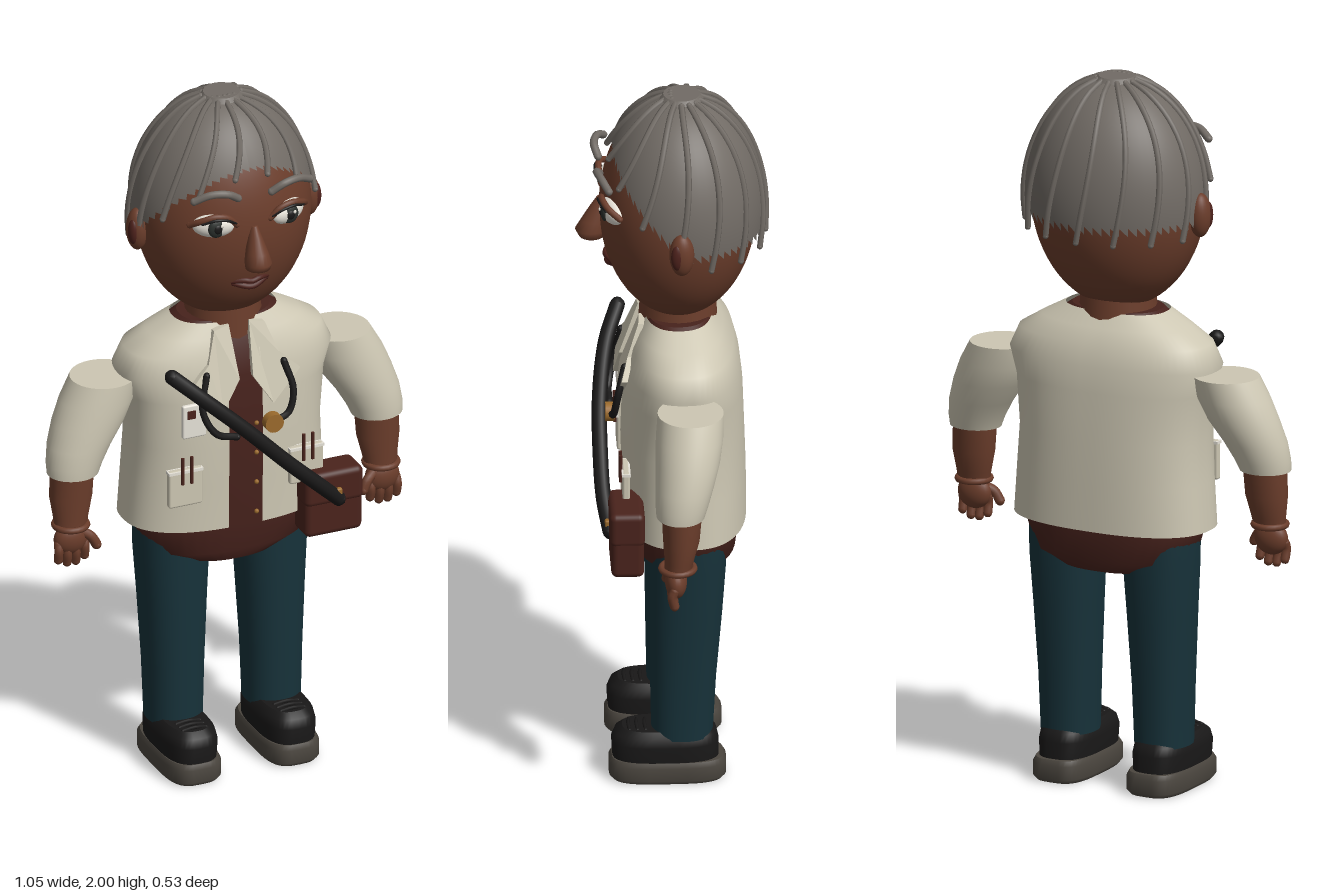
import * as THREE from 'three';
import { RoundedBoxGeometry } from 'three/addons/geometries/RoundedBoxGeometry.js';

const mat = (color) => new THREE.MeshStandardMaterial({ color, side: THREE.DoubleSide });
const M = {
  skin: mat(0x6b3d2b), lip: mat(0x4e221c), hair: mat(0x716b65), jacket: mat(0xcdc7b3),
  shirt: mat(0x47221c), trousers: mat(0x17323a), black: mat(0x191818), sole: mat(0x4b463f),
  white: mat(0xe6e2d8), iris: mat(0x2a2f2c), gold: mat(0x9a6a2c), leather: mat(0x4a231c),
};
const V = (x, y, z) => new THREE.Vector3(x, y, z);

function add(parent, name, geometry, material, x = 0, y = 0, z = 0) {
  const mesh = new THREE.Mesh(geometry, material);
  mesh.name = name;
  mesh.position.set(x, y, z);
  parent.add(mesh);
  return mesh;
}

function blob(parent, name, material, x, y, z, rx, ry, rz, seg = 24) {
  const mesh = add(parent, name, new THREE.SphereGeometry(1, seg, seg * 0.75), material, x, y, z);
  mesh.scale.set(rx, ry, rz);
  return mesh;
}

function tube(parent, name, material, points, r, seg = 16, sides = 8) {
  const curve = new THREE.CatmullRomCurve3(points);
  const mesh = add(parent, name, new THREE.TubeGeometry(curve, seg, r, sides), material);
  for (const p of [points[0], points[points.length - 1]]) blob(parent, name + 'End', material, p.x, p.y, p.z, r, r, r, 8);
  return mesh;
}

// Skin over horizontal rings [y, cx, cz, rx, rz], bottom to top; gap opens the front
function loft(rings, { power = 1, gap = 0, n = 40, caps = true } = {}) {
  const pos = [], idx = [], pw = (v) => Math.sign(v) * Math.abs(v) ** power;
  const ringPoints = ([y, cx, cz, rx, rz]) => {
    const a0 = gap ? Math.asin((gap / rx) ** (1 / power)) : 0;
    for (let j = 0; j < n; j++) {
      const a = gap ? a0 + (2 * Math.PI - 2 * a0) * j / (n - 1) : 2 * Math.PI * j / n;
      pos.push(cx + rx * pw(Math.sin(a)), y, cz + rz * pw(Math.cos(a)));
    }
  };
  rings.forEach(ringPoints);
  const cols = gap ? n - 1 : n;
  for (let i = 0; i < rings.length - 1; i++) for (let j = 0; j < cols; j++) {
    const k = (j + 1) % n, a = i * n + j, b = i * n + k;
    idx.push(a, b, b + n, a, b + n, a + n);
  }
  if (caps && !gap) for (const [ring, top] of [[rings[0], false], [rings[rings.length - 1], true]]) {
    const base = pos.length / 3;
    ringPoints(ring);
    pos.push(ring[1], ring[0], ring[2]);
    for (let j = 0; j < n; j++) {
      const k = (j + 1) % n;
      top ? idx.push(base + n, base + j, base + k) : idx.push(base + n, base + k, base + j);
    }
  }
  const g = new THREE.BufferGeometry();
  g.setAttribute('position', new THREE.Float32BufferAttribute(pos, 3));
  g.setIndex(idx);
  g.computeVertexNormals();
  return g;
}

// Point on the hair shell: angle a from the front, t from crown (0) to hairline (1)
function hairPoint(a, t, s = 1) {
  const edge = 1.605 + 0.235 * Math.max(0, Math.cos(a));
  const polar = t * Math.acos((edge - 1.66) / 0.335), r = Math.sin(polar) * s;
  return V(0.257 * r * Math.sin(a), 1.66 + 0.335 * Math.cos(polar) * s, -0.03 + 0.228 * r * Math.cos(a));
}

function buildHead() {
  const head = new THREE.Group();
  head.name = 'head';
  blob(head, 'skull', M.skin, 0, 1.66, -0.02, 0.246, 0.315, 0.215, 48);
  add(head, 'neck', new THREE.CylinderGeometry(0.1, 0.11, 0.14, 24), M.skin, 0, 1.36, -0.02);

  // Hair cap cut along the hairline, with raised strands
  const cap = new THREE.SphereGeometry(1, 64, 24), uv = cap.attributes.uv, pos = cap.attributes.position;
  for (let i = 0; i < pos.count; i++) {
    const p = hairPoint((i % 65) / 64 * Math.PI * 2, Math.floor(i / 65) / 24);
    pos.setXYZ(i, p.x, p.y, p.z);
  }
  cap.computeVertexNormals();
  add(head, 'hairCap', cap, M.hair);
  add(head, 'crown', new THREE.CylinderGeometry(0.05, 0.06, 0.012, 24), M.hair, 0, 1.993, -0.03);
  for (let k = 0; k < 15; k++) {
    const pts = [];
    for (let i = 0; i <= 8; i++) {
      const t = 0.13 + 0.91 * i / 8;
      pts.push(hairPoint((k + 0.5) / 15 * Math.PI * 2 + 0.16 * Math.sin(t * 3), t, 1.005 + 0.02 * t ** 6));
    }
    tube(head, 'hairStrand', M.hair, pts, 0.0085, 20, 6);
  }

  // Eyes, brows and ears
  for (const s of [-1, 1]) {
    blob(head, 'eyeWhite', M.white, s * 0.11, 1.7, 0.163, 0.058, 0.034, 0.028).rotation.y = s * 0.4;
    blob(head, 'iris', M.iris, s * 0.108, 1.7, 0.184, 0.026, 0.028, 0.012);
    blob(head, 'pupil', M.black, s * 0.108, 1.7, 0.192, 0.013, 0.014, 0.007);
    blob(head, 'eyeGlint', M.white, s * 0.108 + 0.01, 1.71, 0.198, 0.005, 0.005, 0.003, 8);
    tube(head, 'upperLid', M.skin, [V(s * 0.05, 1.7, 0.185), V(s * 0.08, 1.729, 0.192), V(s * 0.115, 1.737, 0.19), V(s * 0.15, 1.725, 0.175), V(s * 0.172, 1.705, 0.145)], 0.009);
    tube(head, 'lashes', M.black, [V(s * 0.055, 1.708, 0.192), V(s * 0.08, 1.724, 0.2), V(s * 0.115, 1.731, 0.199), V(s * 0.15, 1.719, 0.182)], 0.004);
    tube(head, 'eyebrow', M.hair, [V(s * 0.05, 1.785, 0.195), V(s * 0.085, 1.808, 0.205), V(s * 0.13, 1.81, 0.195), V(s * 0.172, 1.79, 0.175)], 0.011);
    blob(head, 'ear', M.skin, s * 0.255, 1.635, -0.02, 0.03, 0.062, 0.034);
    blob(head, 'innerEar', M.lip, s * 0.272, 1.635, -0.008, 0.014, 0.038, 0.018);
  }

  // Nose widens towards its tip
  add(head, 'nose', loft([[1.562, 0, 0.215, 0.012, 0.015], [1.572, 0, 0.215, 0.034, 0.034], [1.592, 0, 0.218, 0.037, 0.042],
    [1.62, 0, 0.208, 0.03, 0.036], [1.66, 0, 0.194, 0.019, 0.026], [1.69, 0, 0.185, 0.01, 0.015]], { n: 20 }), M.skin);
  tube(head, 'upperLip', M.lip, [V(-0.06, 1.513, 0.153), V(-0.02, 1.518, 0.174), V(0, 1.514, 0.177), V(0.02, 1.518, 0.174), V(0.06, 1.513, 0.153)], 0.008);
  tube(head, 'lowerLip', M.lip, [V(-0.055, 1.51, 0.153), V(0, 1.496, 0.172), V(0.055, 1.51, 0.153)], 0.009);
  return head;
}

function buildTorso() {
  const torso = new THREE.Group();
  torso.name = 'torso';
  add(torso, 'shirt', loft([[0.625, 0, -0.035, 0.15, 0.12], [0.66, 0, -0.037, 0.235, 0.14], [0.75, 0, -0.036, 0.262, 0.15],
    [1.0, 0, -0.03, 0.258, 0.158], [1.2, 0, -0.03, 0.27, 0.15], [1.27, 0, -0.03, 0.25, 0.132], [1.31, 0, -0.025, 0.19, 0.108],
    [1.35, 0, -0.02, 0.13, 0.088]], { power: 0.85 }), M.shirt);
  add(torso, 'jacket', loft([[0.75, 0, -0.035, 0.292, 0.17], [0.88, 0, -0.034, 0.283, 0.17], [1.0, 0, -0.03, 0.276, 0.17],
    [1.14, 0, -0.03, 0.288, 0.165], [1.21, 0, -0.03, 0.312, 0.157], [1.27, 0, -0.03, 0.285, 0.141], [1.31, 0, -0.025, 0.22, 0.117],
    [1.348, 0, -0.02, 0.15, 0.092]], { power: 0.82, gap: 0.05, n: 60 }), M.jacket);
  for (let i = 0; i < 4; i++) blob(torso, 'shirtButton', M.gold, 0.035, 0.78 + i * 0.09, 0.128, 0.007, 0.007, 0.006, 8);

  for (const s of [-1, 1]) {
    // Lapel follows the slope of the chest
    const shape = new THREE.Shape([[0.03, 1.345], [0.02, 1.2], [0.075, 1.115], [0.16, 1.2], [0.105, 1.25], [0.075, 1.335]].map(([x, y]) => new THREE.Vector2(s * x, y)));
    const lapel = new THREE.ExtrudeGeometry(shape, { depth: 0.016, bevelEnabled: false }), p = lapel.attributes.position;
    for (let i = 0; i < p.count; i++) p.setZ(i, p.getZ(i) + 0.138 - Math.max(0, p.getY(i) - 1.16) * 0.36);
    lapel.computeVertexNormals();
    add(torso, 'lapel', lapel, M.jacket);
    // Hip pocket with two pens
    add(torso, 'pocket', new RoundedBoxGeometry(0.1, 0.11, 0.02, 2, 0.006), M.jacket, s * 0.18, 0.9, 0.13);
    add(torso, 'pocketHem', new THREE.BoxGeometry(0.102, 0.008, 0.024), M.white, s * 0.18, 0.95, 0.13);
    for (const dx of [-0.012, 0.015]) add(torso, 'pen', new THREE.CylinderGeometry(0.005, 0.005, 0.08, 8), M.leather, s * 0.18 + dx, 0.955, 0.144);
  }
  // Name badge
  add(torso, 'badge', new RoundedBoxGeometry(0.07, 0.1, 0.014, 2, 0.005), M.white, -0.155, 1.1, 0.135);
  add(torso, 'badgePatch', new THREE.BoxGeometry(0.024, 0.024, 0.004), M.leather, -0.165, 1.122, 0.143);

  // Listening tube round the neck, with its chest piece
  tube(torso, 'neckTube', M.black, [V(-0.115, 1.225, 0.13), V(-0.135, 1.13, 0.15), V(-0.1, 1.06, 0.165), V(-0.04, 1.04, 0.165)], 0.01);
  tube(torso, 'neckTube', M.black, [V(0.115, 1.225, 0.13), V(0.135, 1.14, 0.15), V(0.115, 1.08, 0.16), V(0.07, 1.065, 0.165)], 0.01);
  add(torso, 'chestPiece', new THREE.CylinderGeometry(0.027, 0.027, 0.025, 24), M.gold, 0.066, 1.065, 0.168).rotation.x = Math.PI / 2;
  return torso;
}

function buildSatchel() {
  const bag = new THREE.Group();
  bag.name = 'satchel';
  add(bag, 'bagBody', new RoundedBoxGeometry(0.17, 0.19, 0.09, 4, 0.018), M.leather, 0.247, 0.782, 0.13);
  add(bag, 'bagFlap', new RoundedBoxGeometry(0.174, 0.1, 0.096, 4, 0.018), M.leather, 0.247, 0.83, 0.131);
  add(bag, 'clasp', new RoundedBoxGeometry(0.035, 0.022, 0.016, 2, 0.005), M.gold, 0.247, 0.82, 0.182);
  tube(bag, 'strap', M.black, [V(-0.22, 1.245, 0.135), V(-0.14, 1.175, 0.17), V(-0.02, 1.065, 0.192), V(0.1, 0.945, 0.195), V(0.19, 0.86, 0.19), V(0.258, 0.795, 0.175)], 0.021, 32, 10);
  return bag;
}

function buildArm(s) {
  const arm = new THREE.Group();
  arm.name = s > 0 ? 'leftArm' : 'rightArm';
  add(arm, 'sleeve', loft([[0.94, s * 0.452, -0.008, 0.072, 0.066], [0.97, s * 0.446, -0.012, 0.079, 0.072], [1.02, s * 0.428, -0.02, 0.09, 0.08],
    [1.08, s * 0.397, -0.03, 0.102, 0.088], [1.14, s * 0.37, -0.036, 0.104, 0.092], [1.2, s * 0.348, -0.04, 0.092, 0.09]]), M.jacket);
  add(arm, 'forearm', loft([[0.775, s * 0.462, 0.0, 0.046, 0.036], [0.81, s * 0.46, -0.004, 0.05, 0.04], [0.87, s * 0.457, -0.01, 0.061, 0.05], [0.96, s * 0.452, -0.012, 0.062, 0.056]], { n: 24 }), M.skin);
  add(arm, 'cuff', new THREE.TorusGeometry(0.045, 0.009, 8, 24), M.skin, s * 0.462, 0.785, 0).rotation.x = Math.PI / 2;
  blob(arm, 'palm', M.skin, s * 0.463, 0.745, 0.005, 0.05, 0.047, 0.03);
  for (let i = 0; i < 4; i++) {
    const x = 0.425 + i * 0.026, drop = i === 0 || i === 3 ? 0.012 : 0;
    tube(arm, 'finger', M.skin, [V(s * x, 0.735, 0.01), V(s * (x + 0.001), 0.705 + drop, 0.016), V(s * x, 0.676 + drop, 0.01)], 0.013, 8);
  }
  tube(arm, 'thumb', M.skin, [V(s * 0.435, 0.762, 0.012), V(s * 0.412, 0.748, 0.024), V(s * 0.397, 0.722, 0.028)], 0.014, 8);
  return arm;
}

function buildLeg(s) {
  const leg = new THREE.Group();
  leg.name = s > 0 ? 'leftLeg' : 'rightLeg';
  add(leg, 'trouserLeg', loft([[0.13, s * 0.146, -0.025, 0.078, 0.084], [0.3, s * 0.146, -0.028, 0.083, 0.09],
    [0.5, s * 0.146, -0.035, 0.093, 0.1], [0.64, s * 0.146, -0.04, 0.102, 0.105], [0.72, s * 0.146, -0.04, 0.104, 0.105]], { power: 0.9 }), M.trousers);
  add(leg, 'sole', loft([[0, s * 0.146, 0.015, 0.074, 0.15], [0.012, s * 0.146, 0.015, 0.083, 0.16], [0.05, s * 0.146, 0.015, 0.083, 0.16],
    [0.064, s * 0.146, 0.015, 0.076, 0.152]], { power: 0.6 }), M.sole);
  add(leg, 'shoe', loft([[0.06, s * 0.146, 0.02, 0.075, 0.145], [0.11, s * 0.146, 0.022, 0.078, 0.146], [0.135, s * 0.146, 0.02, 0.073, 0.138],
    [0.15, s * 0.146, 0.018, 0.058, 0.12]], { power: 0.7 }), M.black);
  for (let i = 0; i < 3; i++) tube(leg, 'lace', M.black, [V(s * 0.146 - 0.035, 0.148, 0.075 + i * 0.022), V(s * 0.146, 0.154, 0.078 + i * 0.022), V(s * 0.146 + 0.035, 0.148, 0.075 + i * 0.022)], 0.005, 6, 6);
  return leg;
}

export function createModel() {
  const model = new THREE.Group();
  model.name = 'figure';
  model.add(buildHead(), buildTorso(), buildSatchel());
  for (const s of [-1, 1]) model.add(buildArm(s), buildLeg(s));
  return model;
}
